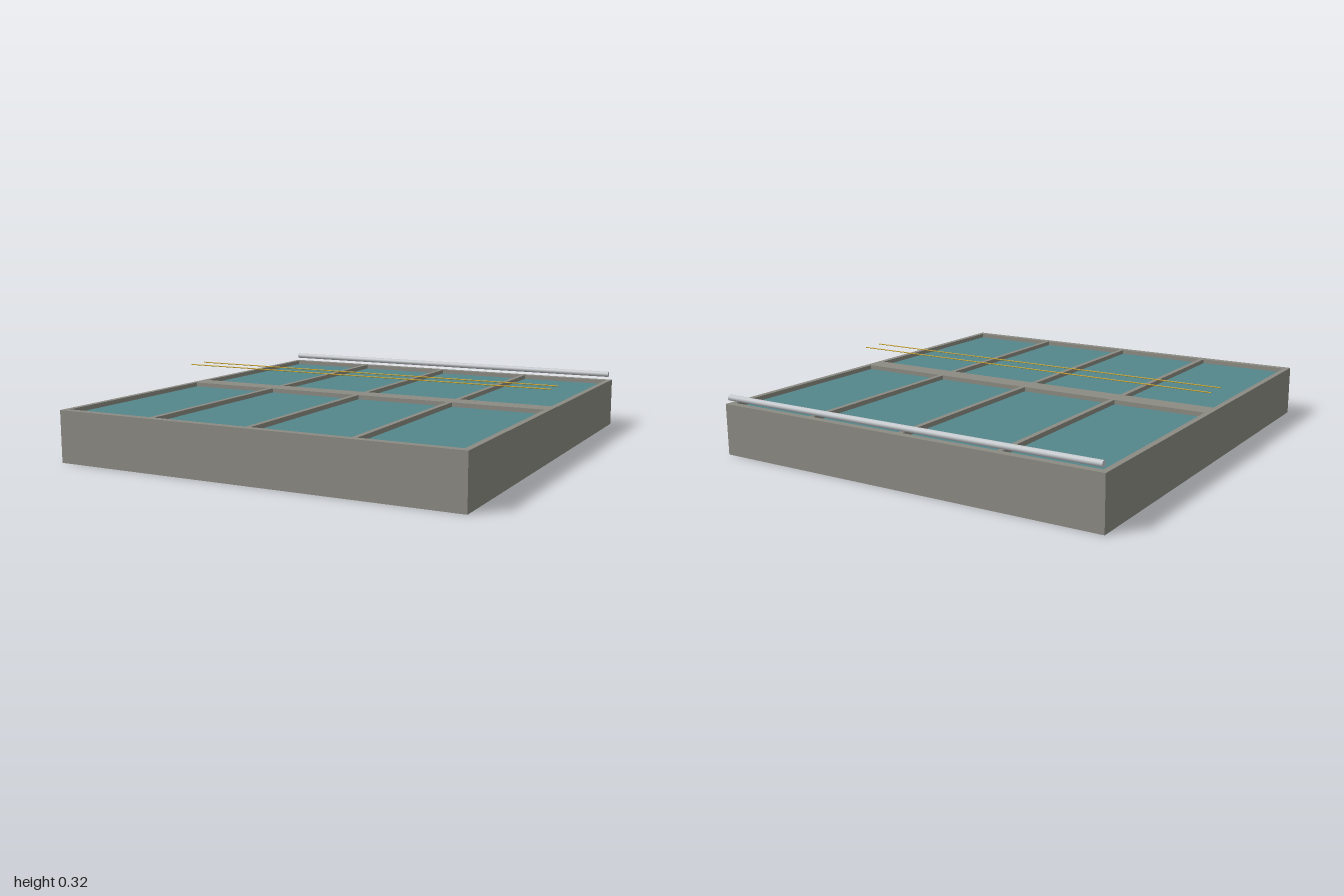
import * as THREE from 'three';

const W = 1.86, D = 2;            // footprint
const TOP = 0.23, PANE = 0.21;    // rim height and pane height
const RIM_X = 0.026, RIM_Z = 0.034;

export function createModel() {
  const model = new THREE.Group();
  model.name = 'framedBasin';

  const concrete = new THREE.MeshStandardMaterial({ name: 'warm grey', color: 0x8c8b83, side: THREE.DoubleSide });
  const teal = new THREE.MeshStandardMaterial({ name: 'teal', color: 0x53868b, side: THREE.DoubleSide });
  const metal = new THREE.MeshStandardMaterial({ name: 'light metal', color: 0xc4c8cc });
  const yellow = new THREE.MeshStandardMaterial({ name: 'yellow', color: 0xc9a21e });

  const add = (name, geometry, material, x, y, z) => {
    const mesh = new THREE.Mesh(geometry, material);
    mesh.name = name;
    mesh.position.set(x, y, z);
    model.add(mesh);
    return mesh;
  };
  // Bars of the top frame all sit between the pane and the rim height
  const bar = (name, w, d, x, z) =>
    add(name, new THREE.BoxGeometry(w, TOP - PANE, d), concrete, x, (TOP + PANE) / 2, z);

  // Thin skirt walls, open underneath, and the rim above them
  for (const s of [-1, 1]) {
    const end = add(s > 0 ? 'frontWall' : 'backWall', new THREE.PlaneGeometry(W, PANE), concrete, 0, PANE / 2, s * D / 2);
    if (s < 0) end.rotation.y = Math.PI;
    const side = add(s > 0 ? 'leftWall' : 'rightWall', new THREE.PlaneGeometry(D, PANE), concrete, s * W / 2, PANE / 2, 0);
    side.rotation.y = s * Math.PI / 2;
    bar(s > 0 ? 'frontRim' : 'backRim', W, RIM_Z, 0, s * (D - RIM_Z) / 2);
    bar(s > 0 ? 'leftRim' : 'rightRim', RIM_X, D - 2 * RIM_Z, s * (W - RIM_X) / 2, 0);
  }

  // Pane filling the whole frame
  const pane = add('pane', new THREE.PlaneGeometry(W, D), teal, 0, PANE - 0.001, 0);
  pane.rotation.x = -Math.PI / 2;

  // Wide central beam and the narrow dividers on both sides of it
  bar('centralBeam', W - 2 * RIM_X, 0.1, 0, 0);
  const dividerLength = D / 2 - RIM_Z - 0.05;
  for (const x of [-0.468, -0.002, 0.466])
    for (const s of [-1, 1])
      bar('divider', 0.023, dividerLength, x, s * (0.05 + dividerLength / 2));

  // Rods running across the width
  const rod = (name, radius, length, sides, material, y, z) => {
    const mesh = add(name, new THREE.CylinderGeometry(radius, radius, length, sides), material, 0, y, z);
    mesh.rotation.z = Math.PI / 2;
  };
  rod('backPipe', 0.0135, 1.83, 12, metal, 0.258, -0.986);
  for (const s of [-1, 1]) rod('wire', 0.0025, W, 8, yellow, 0.32, s * 0.052);

  return model;
}
